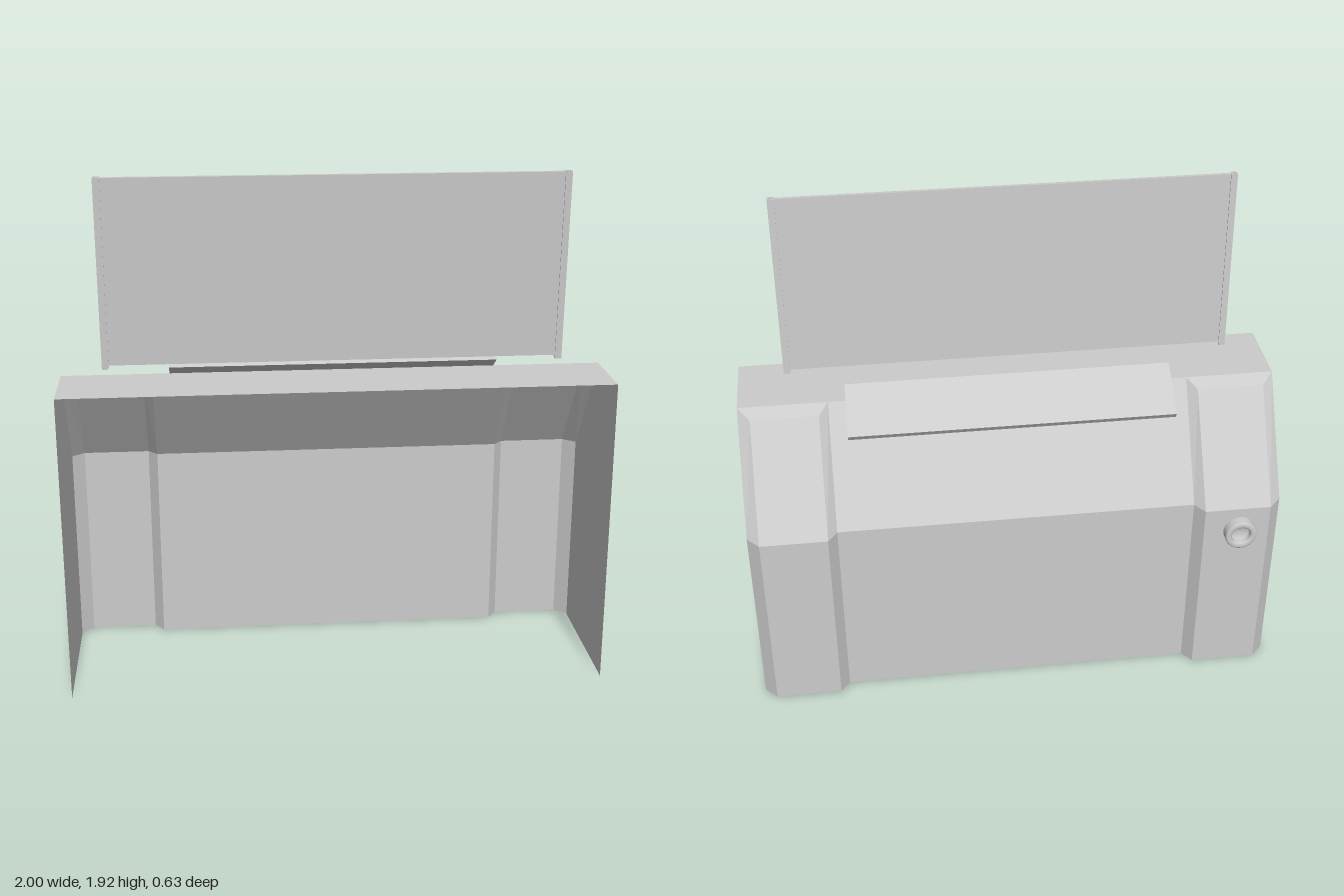
import * as THREE from 'three';

const metal = new THREE.MeshStandardMaterial({ color: 0xcccccc, flatShading: true, side: THREE.DoubleSide });
const smooth = new THREE.MeshStandardMaterial({ color: 0xcccccc, side: THREE.DoubleSide });

function addMesh(parent, name, geometry, material = metal) {
  const mesh = new THREE.Mesh(geometry, material);
  mesh.name = name;
  parent.add(mesh);
  return mesh;
}

// Back skin lofted across x: raised bevelled pillars either side of a recessed panel
function backSkinGeometry() {
  // [y, z] from top to bottom
  const recessed = [[1.165, 0.03], [1.165, 0.03], [0.76, -0.23], [0, -0.23]];
  const raised = [[1.165, 0.03], [1.14, -0.02], [0.757, -0.275], [0, -0.275]];
  const columns = [
    [-1, recessed], [-0.955, raised], [-0.705, raised], [-0.67, recessed],
    [0.67, recessed], [0.705, raised], [0.955, raised], [1, recessed],
  ];
  const positions = [];
  const index = [];
  const rows = recessed.length;
  columns.forEach(([x, profile]) => profile.forEach(([y, z]) => positions.push(x, y, z)));
  for (let c = 0; c < columns.length - 1; c++) {
    for (let r = 0; r < rows - 1; r++) {
      const a = c * rows + r, b = a + rows;
      // the recessed profile has no top bevel, so those cells are triangles or empty
      const flatA = r === 0 && columns[c][1] === recessed;
      const flatB = r === 0 && columns[c + 1][1] === recessed;
      if (!flatB) index.push(a, b, b + 1);
      if (!flatA) index.push(a, b + 1, a + 1);
    }
  }
  const geometry = new THREE.BufferGeometry();
  geometry.setAttribute('position', new THREE.Float32BufferAttribute(positions, 3));
  geometry.setIndex(index);
  const flat = geometry.toNonIndexed();
  flat.computeVertexNormals();
  return flat;
}

function createCabinet() {
  const cabinet = new THREE.Group();
  cabinet.name = 'cabinet';
  addMesh(cabinet, 'backSkin', backSkinGeometry());

  // Thin side walls; the front and the bottom stay open
  const sideShape = new THREE.Shape([
    [-0.315, 0], [0.23, 0], [0.23, 0.76], [-0.03, 1.165], [-0.315, 1.165],
  ].map(([x, y]) => new THREE.Vector2(x, y)));
  for (const side of [1, -1]) {
    const geometry = new THREE.ShapeGeometry(sideShape);
    if (side < 0) geometry.scale(-1, 1, 1);
    geometry.rotateY(side * Math.PI / 2);
    if (side < 0) geometry.index.array.reverse();
    if (side < 0) geometry.computeVertexNormals();
    geometry.translate(side, 0, 0);
    addMesh(cabinet, side > 0 ? 'leftWall' : 'rightWall', geometry);
  }

  const top = addMesh(cabinet, 'topPanel', new THREE.PlaneGeometry(2, 0.285));
  top.rotation.x = -Math.PI / 2;
  top.position.set(0, 1.165, 0.1725);
  return cabinet;
}

// Tilted screen held between two U-shaped posts
function createScreen() {
  const screen = new THREE.Group();
  screen.name = 'screen';
  addMesh(screen, 'screenPanel', new THREE.BoxGeometry(1.63, 0.675, 0.014)).position.y = 0.006;

  const channel = new THREE.Shape([
    [0, -0.012], [0.024, -0.012], [0.024, -0.008], [0.005, -0.008],
    [0.005, 0.008], [0.024, 0.008], [0.024, 0.012], [0, 0.012],
  ].map(([x, y]) => new THREE.Vector2(x, y)));
  const postGeometry = new THREE.ExtrudeGeometry(channel, { depth: 0.69, bevelEnabled: false });
  postGeometry.translate(0, 0, -0.345).rotateX(Math.PI / 2);
  for (const side of [1, -1]) {
    const post = addMesh(screen, side > 0 ? 'leftPost' : 'rightPost', postGeometry);
    post.position.x = side * 0.832;
    if (side > 0) post.rotation.y = Math.PI;
  }
  screen.position.set(-0.008, 1.57, 0.174);
  screen.rotation.x = 0.051;
  return screen;
}

export function createModel() {
  const model = new THREE.Group();
  model.name = 'console';
  model.add(createCabinet(), createScreen());

  // Slanted shelf at the top of the back slope
  const shelf = addMesh(model, 'shelf', new THREE.BoxGeometry(1.21, 0.027, 0.21));
  shelf.position.set(0, 1.152, -0.026);
  shelf.rotation.x = -0.58;

  // Round socket with a recessed centre
  const profile = [
    [0.06, 0], [0.06, 0.034], [0.058, 0.039], [0.053, 0.041], [0.042, 0.041],
    [0.037, 0.038], [0.035, 0.032], [0.035, 0.012], [0, 0.012],
  ].map(([r, h]) => new THREE.Vector2(r, h));
  const socket = addMesh(model, 'socket', new THREE.LatheGeometry(profile, 32), smooth);
  socket.rotation.x = -Math.PI / 2;
  socket.position.set(-0.84, 0.66, -0.275);
  return model;
}
